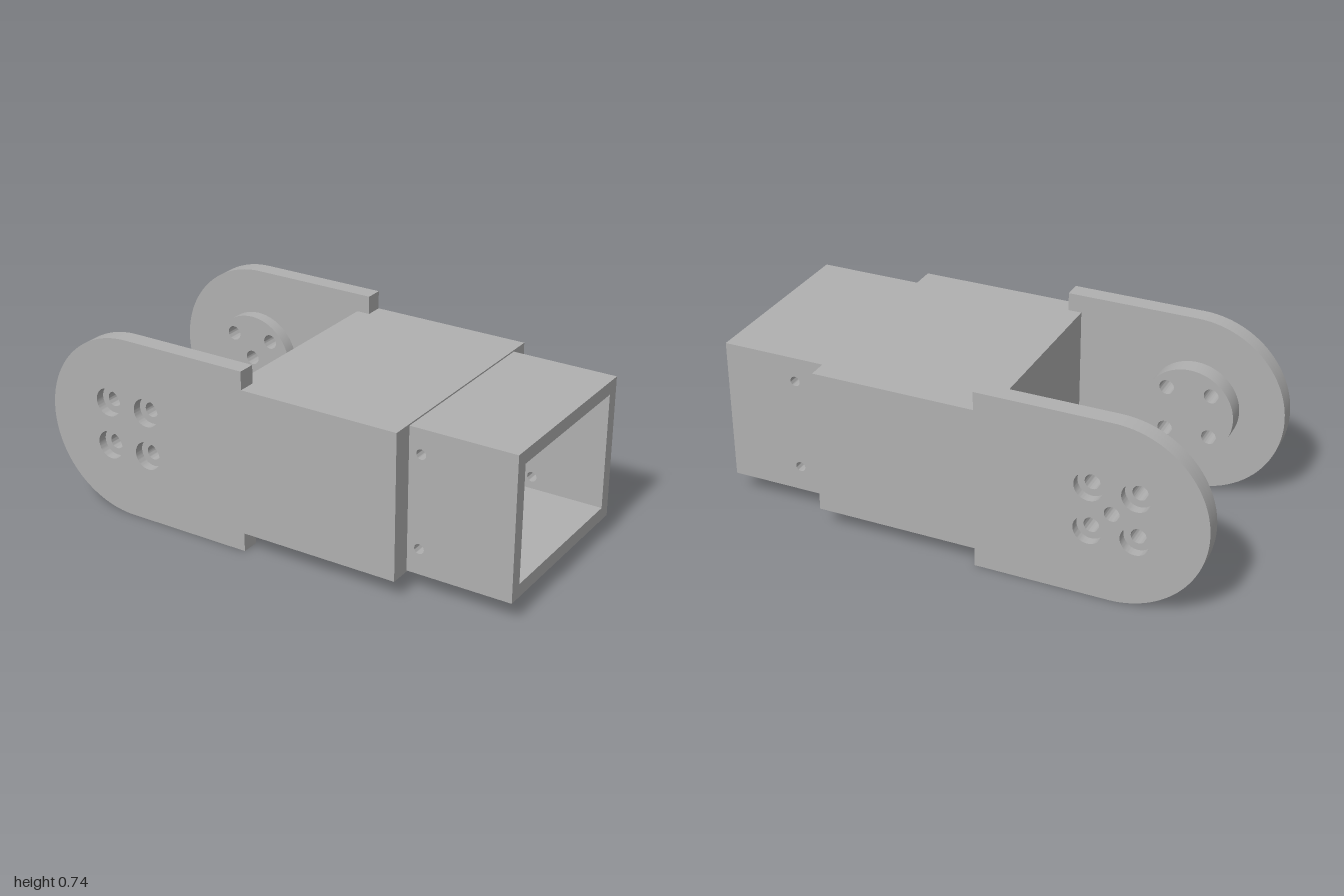
import * as THREE from 'three';
import { toCreasedNormals } from 'three/addons/utils/BufferGeometryUtils.js';

const CX = -0.628, CY = 0.373, R = 0.372;           // pivot centre and ear radius
const BODY_LOW = 0.077, BODY_HIGH = 0.671;
const BODY_END = 0.57, OUTER = 0.478, INNER = 0.405; // body end in x, ear faces in z
const BOLT = 0.03, COUNTERBORE = 0.058;

// Four bolt positions around the pivot
const boltPoints = [];
for (const sx of [-1, 1]) for (const sy of [-1, 1]) boltPoints.push([CX - 0.004 + sx * 0.091, CY + sy * 0.091]);

export function createModel() {
  const model = new THREE.Group();
  model.name = 'forkBracket';
  const grey = new THREE.MeshStandardMaterial({ color: 0xb0b0b0 });
  grey.name = 'plainGrey';

  const add = (name, geometry) => {
    const mesh = new THREE.Mesh(geometry, grey);
    mesh.name = name;
    model.add(mesh);
  };

  // Box given by its limits on each axis
  const box = (name, x0, x1, y0, y1, z0, z1) => {
    const g = new THREE.BoxGeometry(x1 - x0, y1 - y0, z1 - z0);
    add(name, g.translate((x0 + x1) / 2, (y0 + y1) / 2, (z0 + z1) / 2));
  };

  // Shape in x/y with round holes [x, y, radius], extruded from z0 to z1
  const plate = (name, shape, holes, z0, z1) => {
    for (const [x, y, r] of holes) {
      shape.holes.push(new THREE.Path().absarc(x, y, r, 0, Math.PI * 2, true));
    }
    const g = new THREE.ExtrudeGeometry(shape, { depth: z1 - z0, bevelEnabled: false, curveSegments: 32 });
    add(name, toCreasedNormals(g.translate(0, 0, z0), 0.6));
  };

  // Side profile: rounded ear stepping down to the body height
  const earShape = () => {
    const s = new THREE.Shape();
    s.absarc(CX, CY, R, Math.PI / 2, Math.PI * 1.5, false);
    s.lineTo(-0.09, CY - R);
    s.lineTo(-0.09, BODY_LOW);
    s.lineTo(BODY_END, BODY_LOW);
    s.lineTo(BODY_END, BODY_HIGH);
    s.lineTo(-0.09, BODY_HIGH);
    s.lineTo(-0.09, CY + R);
    s.closePath();
    return s;
  };

  // Solid block between the ears
  box('bodyBlock', -0.145, BODY_END, BODY_LOW, BODY_HIGH, -INNER, INNER);

  for (const side of [1, -1]) {
    const label = side > 0 ? 'front' : 'back';
    const span = (a, b) => (side > 0 ? [a, b] : [-b, -a]);
    // Only the back ear is bored through at its pivot
    const pivot = side > 0 ? [] : [[CX - 0.004, CY, BOLT]];
    const bolts = boltPoints.map(([x, y]) => [x, y, BOLT]).concat(pivot);
    const bores = boltPoints.map(([x, y]) => [x, y, COUNTERBORE]).concat(pivot);

    // Ear in two layers, so the bolt holes are counterbored outside
    const mid = 0.44;
    plate(label + 'EarInnerLayer', earShape(), bolts, ...span(INNER, mid));
    plate(label + 'EarOuterLayer', earShape(), bores, ...span(mid, OUTER));

    // Round boss on the inner face
    const disc = new THREE.Shape().absarc(CX - 0.004, CY, 0.185, 0, Math.PI * 2, false);
    plate(label + 'Boss', disc, bolts, ...span(side > 0 ? 0.328 : 0.354, INNER));

    // Socket side wall with two screw holes, offset between sides
    const wall = new THREE.Shape();
    wall.moveTo(BODY_END, 0.082);
    wall.lineTo(1, 0.082);
    wall.lineTo(1, 0.665);
    wall.lineTo(BODY_END, 0.665);
    wall.closePath();
    const hx = side > 0 ? 0.62 : 0.7;
    plate(label + 'SocketWall', wall, [[hx, 0.186, 0.02], [hx, 0.565, 0.02]], ...span(0.338, 0.391));
  }

  // Socket floor and roof
  box('socketFloor', BODY_END, 1, 0.082, 0.136, -0.338, 0.338);
  box('socketRoof', BODY_END, 1, 0.611, 0.665, -0.338, 0.338);

  return model;
}
